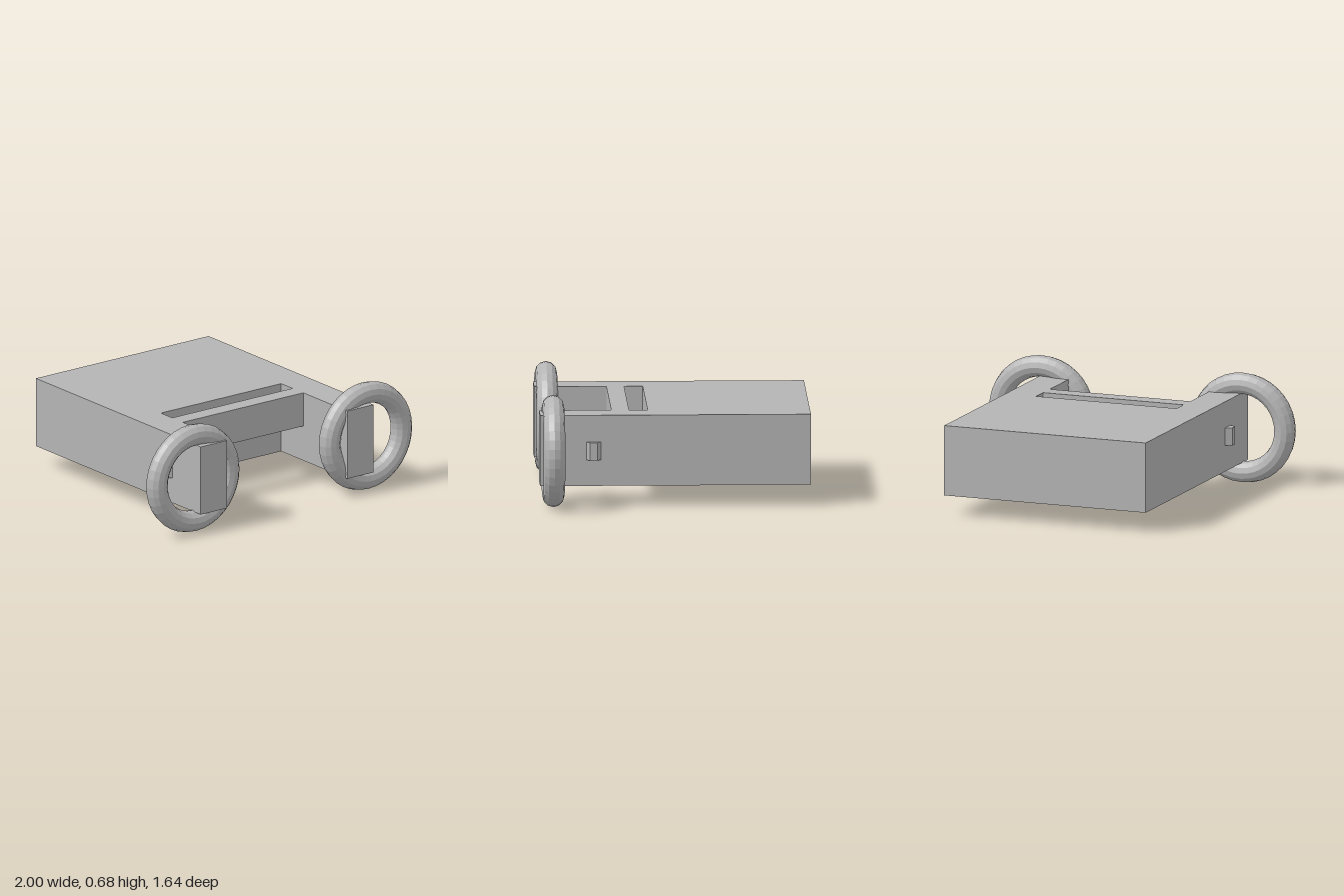
import * as THREE from 'three';

export function createModel() {
  const model = new THREE.Group();
  const grey = new THREE.MeshStandardMaterial({ color: 0xb4b4b4, flatShading: true });
  grey.name = 'plain grey';

  const add = (name, geometry, x = 0, y = 0, z = 0) => {
    const mesh = new THREE.Mesh(geometry, grey);
    mesh.name = name;
    mesh.position.set(x, y, z);
    model.add(mesh);
  };

  const bottom = 0.13, top = 0.563, middle = 0.345;

  // Chassis: solid rear block with two forward arms, drawn in plan (x, z)
  const plan = new THREE.Shape([
    [-0.66, -0.822], [0.66, -0.822], [0.66, 0.822], [0.46, 0.822],
    [0.46, 0.163], [-0.46, 0.163], [-0.46, 0.822], [-0.66, 0.822],
  ].map(([x, z]) => new THREE.Vector2(x, z)));
  const chassis = new THREE.ExtrudeGeometry(plan, { depth: top - bottom, bevelEnabled: false });
  chassis.rotateX(Math.PI / 2);
  add('chassis', chassis, 0, top, 0);

  // Cross bar between the arms, upper half of the height only
  add('crossBar', new THREE.BoxGeometry(0.92, top - 0.35, 0.107), 0, (top + 0.35) / 2, 0.33);

  for (const [side, name] of [[1, 'left'], [-1, 'right']]) {
    // Ring around the arm tip
    add(name + 'Ring', new THREE.TorusGeometry(0.274, 0.066, 12, 36), side * 0.66, middle, 0.743);
    // Six-sided peg half sunk in the outer face of the arm
    add(name + 'Peg', new THREE.CylinderGeometry(0.045, 0.045, 0.11, 6), side * 0.66, middle, 0.497);
  }

  return model;
}
